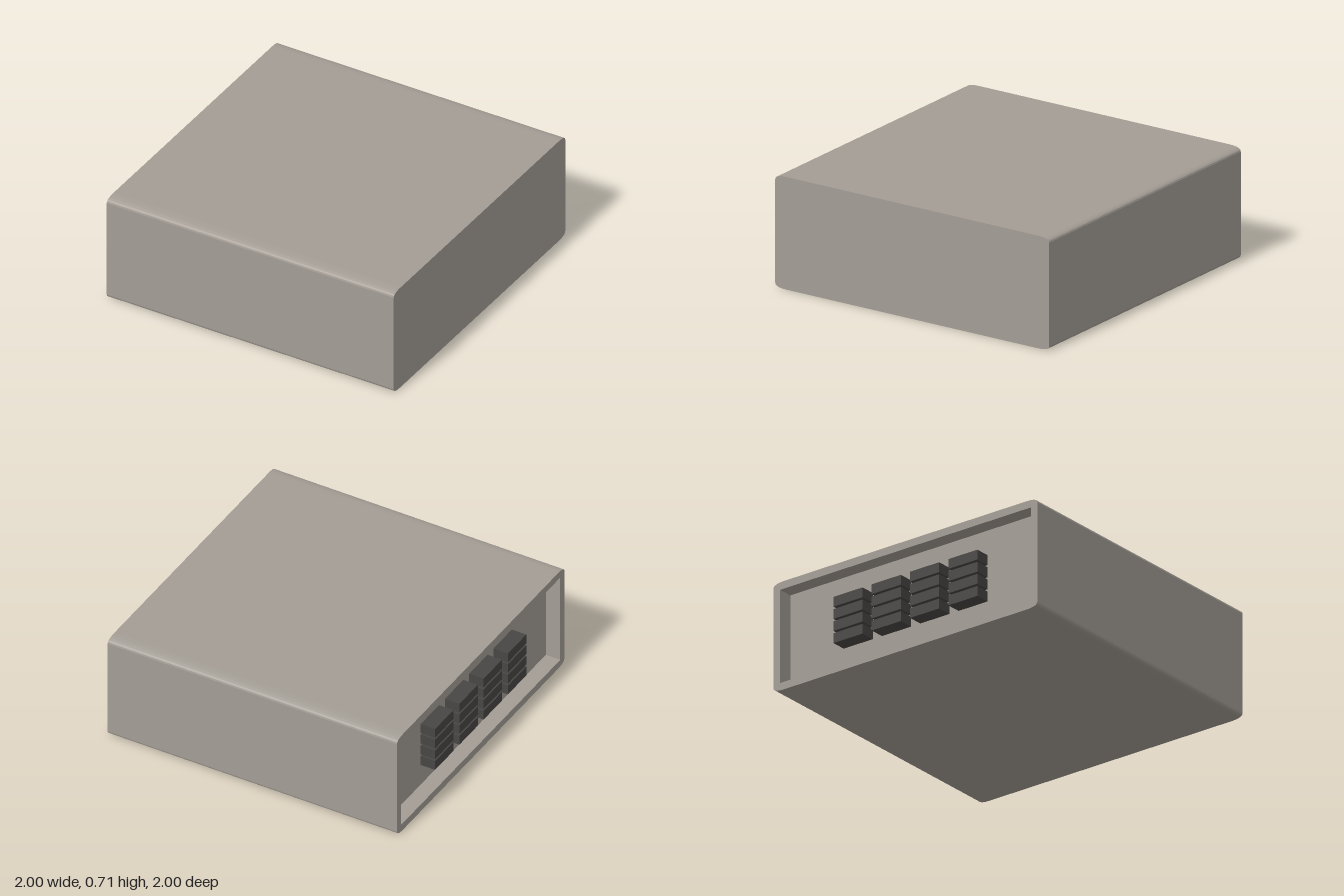
import * as THREE from 'three';

const H = 0.715;        // casing height
const RECESS = 0.1;     // depth of the open end
const WALL = 0.05;

// End outline: a wide block with softly flattened corners
function casingShape() {
  const rz = 0.08, ry = 0.03;
  const s = new THREE.Shape();
  s.moveTo(-1 + rz, 0);
  s.lineTo(1 - rz, 0);
  s.quadraticCurveTo(1, 0, 1, ry);
  s.lineTo(1, H - ry);
  s.quadraticCurveTo(1, H, 1 - rz, H);
  s.lineTo(-1 + rz, H);
  s.quadraticCurveTo(-1, H, -1, H - ry);
  s.lineTo(-1, ry);
  s.quadraticCurveTo(-1, 0, -1 + rz, 0);
  return s;
}

// Sweep an outline along x from x0 to x1
function sweepX(shape, x0, x1) {
  const g = new THREE.ExtrudeGeometry(shape, { depth: x1 - x0, bevelEnabled: false, curveSegments: 5 });
  g.translate(0, 0, x0);
  g.rotateY(Math.PI / 2);
  return g;
}

export function createModel() {
  const model = new THREE.Group();
  model.name = 'casing';
  const casingGrey = new THREE.MeshStandardMaterial({ color: 0xa39d95 });
  casingGrey.name = 'warm grey';
  const darkGrey = new THREE.MeshStandardMaterial({ color: 0x484644 });
  darkGrey.name = 'dark grey';

  const add = (parent, name, geometry, material) => {
    const mesh = new THREE.Mesh(geometry, material);
    mesh.name = name;
    parent.add(mesh);
    return mesh;
  };

  // Solid body, whose end is the floor of the recess
  add(model, 'body', sweepX(casingShape(), -1 + RECESS, 1), casingGrey);

  // Rim around the recessed end
  const rimShape = casingShape();
  const hole = new THREE.Path();
  hole.moveTo(-1 + WALL, WALL);
  hole.lineTo(-1 + WALL, H - WALL);
  hole.lineTo(1 - WALL, H - WALL);
  hole.lineTo(1 - WALL, WALL);
  hole.closePath();
  rimShape.holes.push(hole);
  add(model, 'rim', sweepX(rimShape, -1, -1 + RECESS), casingGrey);

  // Four by four bank of blocks in the recess
  const blocks = new THREE.Group();
  blocks.name = 'blockBank';
  model.add(blocks);
  const block = new THREE.BoxGeometry(RECESS, 0.065, 0.22);
  for (let col = 0; col < 4; col++) {
    for (let row = 0; row < 4; row++) {
      add(blocks, 'block', block, darkGrey)
        .position.set(-1 + RECESS / 2, 0.35 + (row - 1.5) * 0.08, (col - 1.5) * 0.29);
    }
  }
  return model;
}
